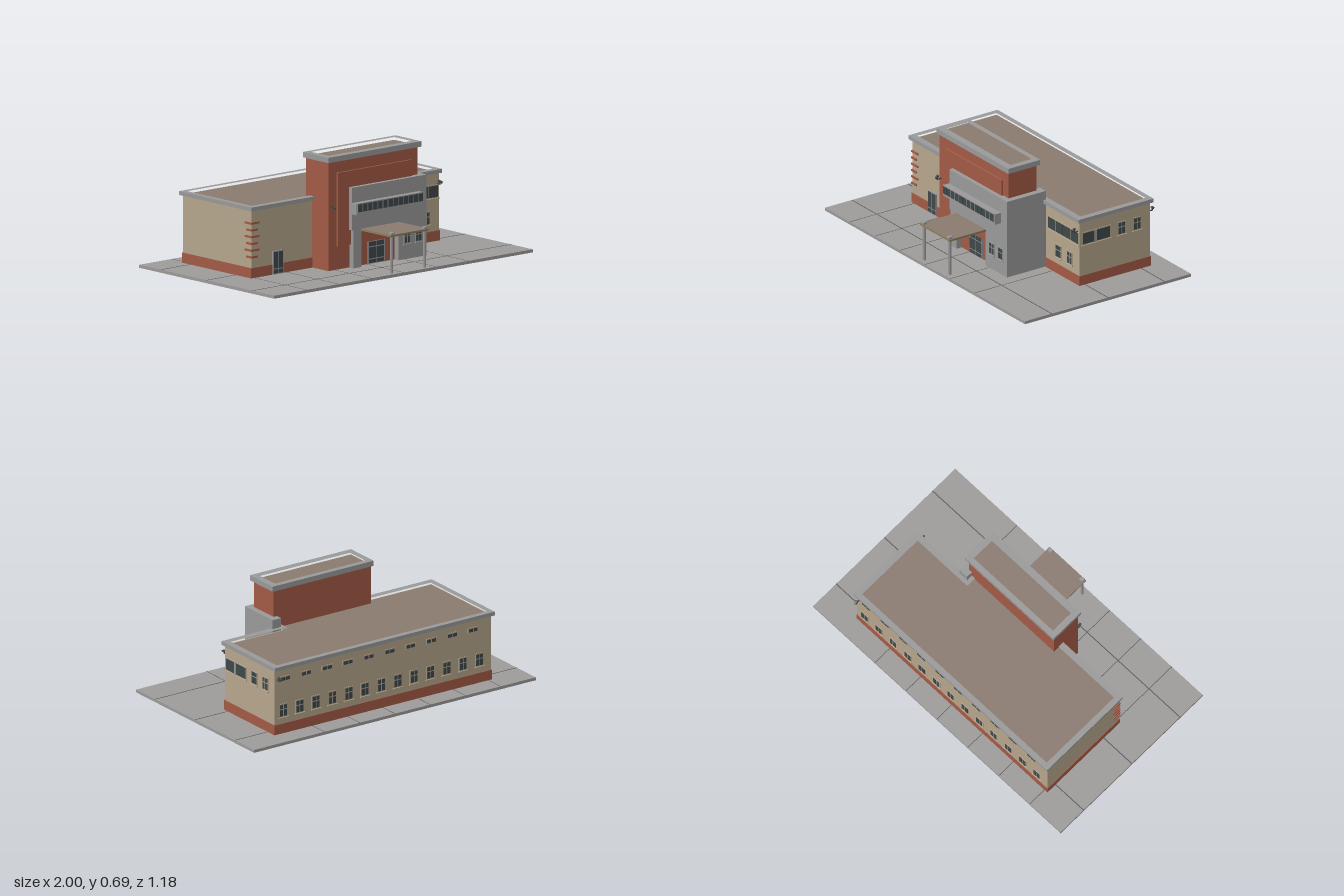
import * as THREE from 'three';

const mat = (name, color) => {
  const m = new THREE.MeshStandardMaterial({ color });
  m.name = name;
  return m;
};

export function createModel() {
  const model = new THREE.Group();
  model.name = 'building';
  const beige = mat('beige wall', 0xb5a58c);
  const red = mat('brick red', 0xa25a45);
  const grey = mat('grey concrete', 0x999999);
  const paving = mat('paving', 0x9d9b99);
  const joint = mat('paving joint', 0x5a5a5c);
  const roofing = mat('brown roofing', 0x8a7a70);
  const glass = mat('dark glass', 0x3e474a);
  const olive = mat('canopy edge', 0x8c8058);
  const dark = mat('camera dark', 0x4a4a4a);

  const add = (name, geo, material, parent = model) => {
    const m = new THREE.Mesh(geo, material);
    m.name = name;
    parent.add(m);
    return m;
  };
  // Box from its limits on each axis
  const box = (name, material, x0, x1, y0, y1, z0, z1, parent = model) => {
    const g = new THREE.BoxGeometry(x1 - x0, y1 - y0, z1 - z0);
    g.translate((x0 + x1) / 2, (y0 + y1) / 2, (z0 + z1) / 2);
    return add(name, g, material, parent);
  };
  // Prism from a floor plan of [x, z] points, with an optional opening
  const prism = (name, material, plan, y0, y1, hole) => {
    const pts = (p) => p.map(([x, z]) => new THREE.Vector2(x, -z));
    const s = new THREE.Shape(pts(plan));
    if (hole) s.holes.push(new THREE.Path(pts(hole)));
    const g = new THREE.ExtrudeGeometry(s, { depth: y1 - y0, bevelEnabled: false });
    g.rotateX(-Math.PI / 2).translate(0, y0, 0);
    return add(name, g, material);
  };
  const rect = (x0, x1, z0, z1) => [[x0, z0], [x1, z0], [x1, z1], [x0, z1]];
  // L-shaped plan of the main block, with its notch in the front right corner
  const plan = (x0, x1, z0, zRight, xStep, zLeft) =>
    [[x0, z0], [x1, z0], [x1, zRight], [xStep, zRight], [xStep, zLeft], [x0, zLeft]];

  // Framed glazing facing +z; rows are listed as height fractions from the bottom
  const glazing = (name, x, y, z, w, h, cols, rows, turn = 0, frame = grey, sill = true) => {
    const g = new THREE.Group();
    g.name = name;
    const t = 0.006;
    box('frame', frame, -w / 2, w / 2, -h / 2, h / 2, -0.004, 0.003, g);
    const cw = (w - t) / cols;
    let base = -h / 2 + t / 2;
    for (const r of rows) {
      const rh = r * (h - t);
      for (let i = 0; i < cols; i++) {
        const left = -w / 2 + t / 2 + i * cw;
        box('pane', glass, left + t / 2, left + cw - t / 2, base + t / 2, base + rh - t / 2, 0.001, 0.005, g);
      }
      base += rh;
    }
    if (sill) box('sill', frame, -w / 2 - 0.005, w / 2 + 0.005, -h / 2 - 0.006, -h / 2, 0, 0.009, g);
    g.position.set(x, y, z);
    g.rotation.y = turn;
    model.add(g);
  };

  // Paved ground with joints
  const floor = 0.018;
  box('ground', paving, -1, 1, 0, floor, -0.59, 0.59);
  for (const x of [-0.75, -0.5, -0.25, 0, 0.25, 0.5])
    box('pavingJoint', joint, x - 0.002, x + 0.002, floor - 0.002, floor + 0.0008, -0.59, 0.59);
  for (const z of [-0.4, 0, 0.4])
    box('pavingJoint', joint, -1, 1, floor - 0.002, floor + 0.0008, z - 0.003, z + 0.003);

  // Main block: walls, brick plinth, roof and parapet
  prism('walls', beige, plan(-0.77, 0.765, -0.465, 0.035, 0.36, 0.13), floor, 0.42);
  prism('plinth', red, plan(-0.774, 0.769, -0.469, 0.039, 0.364, 0.134), floor, 0.078);
  prism('roof', roofing, plan(-0.76, 0.75, -0.46, 0.02, 0.35, 0.12), 0.418, 0.424);
  prism('parapet', grey, plan(-0.785, 0.777, -0.483, 0.05, 0.375, 0.15), 0.418, 0.441,
    plan(-0.75, 0.74, -0.45, 0.01, 0.34, 0.11));

  // Brick courses around the front left corner
  for (let i = 0; i < 6; i++) {
    const y = 0.142 + i * 0.04;
    const len = i % 2 ? 0.058 : 0.045;
    box('cornerCourse', red, -0.776, -0.77 + len, y - 0.006, y + 0.006, 0.137 - len, 0.137);
  }

  // Tower with raised front panel, roof and parapet
  box('tower', red, -0.3, 0.39, floor, 0.665, 0.075, 0.272);
  box('towerPanel', red, -0.237, 0.335, 0.155, 0.592, 0.27, 0.284);
  prism('towerRoof', roofing, rect(-0.29, 0.38, 0.08, 0.26), 0.662, 0.672);
  prism('towerParapet', grey, rect(-0.31, 0.407, 0.06, 0.287), 0.66, 0.692, rect(-0.272, 0.367, 0.093, 0.243));

  // Grey entrance wall wrapping the tower's left side
  box('entranceSideWall', grey, 0.365, 0.427, floor, 0.496, 0.035, 0.31);
  box('entranceRightPier', grey, 0.21, 0.366, floor, 0.496, 0.27, 0.31);
  box('entranceUpperWall', grey, -0.15, 0.211, 0.244, 0.496, 0.27, 0.31);
  box('entranceLeftPier', grey, -0.137, -0.078, floor, 0.244, 0.27, 0.31);

  // Projecting ribbon window
  box('ribbonWindowBox', grey, -0.153, 0.366, 0.34, 0.406, 0.305, 0.353);
  glazing('ribbonWindow', 0.106, 0.38, 0.353, 0.512, 0.058, 13, [1], 0, grey, false);

  // Canopy on two posts
  box('canopyEdge', olive, -0.08, 0.215, 0.233, 0.242, 0.31, 0.567);
  box('canopyTop', roofing, -0.08, 0.215, 0.242, 0.245, 0.31, 0.567);
  for (const x of [-0.06, 0.195]) {
    const post = add('canopyPost', new THREE.CylinderGeometry(0.01, 0.01, 0.237, 12), grey);
    post.position.set(x, floor + 0.1185, 0.553);
    box('postCap', grey, x - 0.012, x + 0.012, 0.232, 0.257, 0.541, 0.565);
  }

  // Doors
  glazing('entranceDoor', 0.068, 0.086, 0.274, 0.128, 0.137, 2, [0.2, 0.55, 0.25], 0, grey, false);
  glazing('sideDoor', -0.567, 0.087, 0.134, 0.082, 0.139, 2, [0.22, 0.78], 0, grey, false);

  // Front windows
  glazing('frontRibbon', 0.605, 0.312, 0.035, 0.312, 0.08, 4, [1], 0, beige);
  for (const x of [0.555, 0.667]) glazing('frontWindow', x, 0.16, 0.035, 0.056, 0.082, 2, [0.6, 0.4], 0, beige);
  for (const x of [0.275, 0.362]) glazing('pierWindow', x, 0.147, 0.31, 0.052, 0.076, 2, [0.6, 0.4]);

  // Left side windows
  const side = Math.PI / 2;
  glazing('sideRibbon', 0.765, 0.309, -0.031, 0.1, 0.08, 1, [1], side, beige);
  glazing('sideRibbon', 0.765, 0.309, -0.131, 0.104, 0.08, 1, [1], side, beige);
  box('ribbonMullion', grey, 0.765, 0.772, 0.27, 0.348, -0.082, -0.068);
  for (const z of [-0.263, -0.372]) glazing('sideWindow', 0.765, 0.309, z, 0.058, 0.082, 2, [0.6, 0.4], side, beige);

  // Back windows: a tall lower row and a shallow upper row
  for (let i = 0; i < 13; i++)
    glazing('backWindow', 0.705 - i * 0.116, 0.16, -0.465, 0.06, 0.082, 2, [0.6, 0.4], Math.PI, beige);
  for (let i = 0; i < 10; i++)
    glazing('backHighWindow', 0.69 - i * 0.148, 0.355, -0.465, 0.074, 0.032, 2, [1], Math.PI, beige, false);

  // Security cameras on short arms
  const camera = (x, y, z, dir) => {
    const g = new THREE.Group();
    g.name = 'securityCamera';
    box('arm', dark, -0.003, 0.003, -0.012, -0.006, 0, 0.03, g);
    box('bracket', dark, -0.003, 0.003, -0.012, 0.004, 0.024, 0.03, g);
    const body = add('body', new THREE.BoxGeometry(0.012, 0.012, 0.026), dark, g);
    body.position.set(0, 0.006, 0.03);
    body.rotation.set(0.45, 0.4, 0);
    g.position.set(x, y, z);
    g.rotation.y = dir > 0 ? 0 : Math.PI;
    model.add(g);
  };
  camera(0.748, 0.365, 0.035, 1);
  camera(0.748, 0.365, -0.465, -1);
  camera(-0.285, 0.39, 0.272, 1);

  return model;
}
